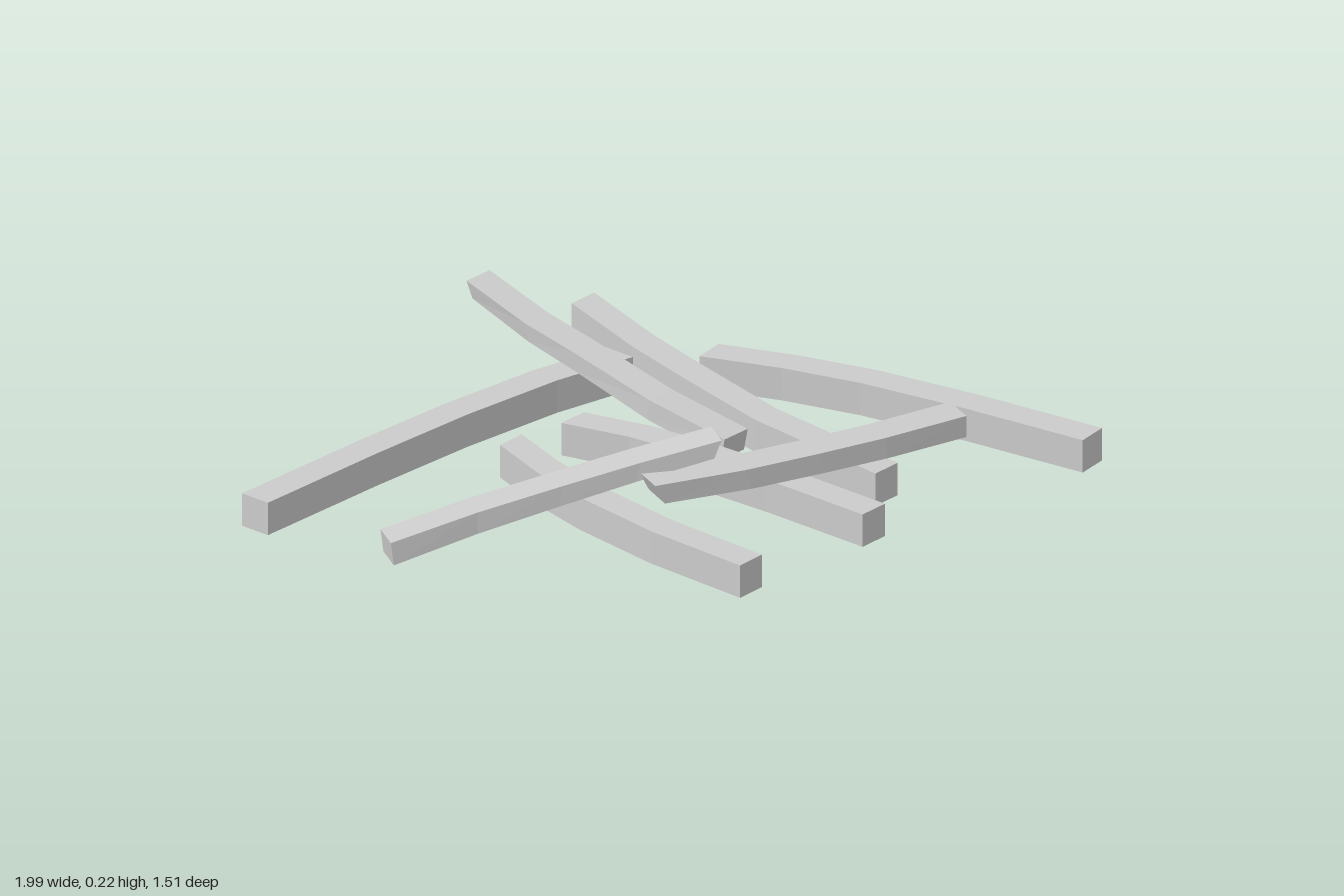
import * as THREE from 'three';

// Each stick: five [x, z] points along its top centre line, half-width cut [x, z],
// top height at both ends, and the section's [x, y, z] rise at both ends.
const FLAT = { y: [0.092, 0.092], up: [[0, 0.092, 0], [0, 0.092, 0]] };
const STICKS = [
  { name: 'backStick', path: [[-0.10, -0.52], [0.12, -0.515], [0.34, -0.49], [0.64, -0.425], [0.985, -0.333]], cut: [0.013, -0.042], ...FLAT },
  { name: 'longStick', path: [[-0.50, -0.72], [-0.275, -0.52], [-0.10, -0.385], [0.15, -0.20], [0.54, 0.015]], cut: [0.018, -0.039], ...FLAT },
  { name: 'rightSideStick', path: [[-0.315, -0.44], [-0.46, -0.25], [-0.62, 0.01], [-0.773, 0.296], [-0.955, 0.66]], cut: [0.04, 0.017], ...FLAT },
  { name: 'middleStick', path: [[-0.317, -0.035], [-0.128, -0.008], [0.05, 0.043], [0.283, 0.13], [0.58, 0.256]], cut: [0.018, -0.039], ...FLAT },
  { name: 'frontStick', path: [[-0.43, 0.136], [-0.29, 0.264], [-0.147, 0.37], [0.09, 0.51], [0.368, 0.637]], cut: [0.017, -0.039], ...FLAT },
  // Thinner sticks resting on the others
  { name: 'stackedStick', path: [[0.65, -0.253], [0.49, -0.067], [0.357, 0.07], [0.203, 0.22], [0.01, 0.378]], cut: [-0.032, -0.034],
    y: [0.153, 0.153], up: [[0, 0.06, 0], [-0.02, 0.056, 0.02]] },
  { name: 'backLeaningStick', path: [[-0.715, -0.505], [-0.523, -0.387], [-0.373, -0.32], [-0.133, -0.203], [0.093, -0.128]], cut: [0.019, -0.039],
    y: [0.224, 0.06], up: [[-0.016, 0.048, 0], [0.01, 0.06, 0]] },
  { name: 'frontLeaningStick', path: [[-0.587, 0.717], [-0.403, 0.56], [-0.216, 0.43], [-0.04, 0.315], [0.144, 0.21]], cut: [-0.025, -0.036],
    y: [0.062, 0.224], up: [[-0.008, 0.062, 0], [0.016, 0.048, -0.012]] },
];

// Sweeps a four-cornered section along the path and caps both ends
function stickGeometry({ path, cut, y, up }) {
  const last = path.length - 1;
  const first = path[0], end = path[last];
  // Point the cut to the right-hand side of the travel direction
  const side = -(end[1] - first[1]) * cut[0] + (end[0] - first[0]) * cut[1];
  const s = Math.sign(side);
  const half = new THREE.Vector3(s * cut[0], 0, s * cut[1]);
  const upA = new THREE.Vector3(...up[0]), upB = new THREE.Vector3(...up[1]);
  const pos = [], index = [];
  path.forEach(([x, z], i) => {
    const t = (x - first[0]) / (end[0] - first[0]);
    const top = new THREE.Vector3(x, THREE.MathUtils.lerp(y[0], y[1], t), z);
    const bottom = top.clone().sub(upA.clone().lerp(upB, t));
    for (const p of [top.clone().add(half), top.clone().sub(half), bottom.clone().sub(half), bottom.clone().add(half)])
      pos.push(p.x, p.y, p.z);
    if (i === last) return;
    for (let j = 0; j < 4; j++) {
      const a = 4 * i + j, b = 4 * i + (j + 1) % 4;
      index.push(a, a + 4, b + 4, a, b + 4, b);
    }
  });
  const e = 4 * last;
  index.push(0, 1, 2, 0, 2, 3, e, e + 2, e + 1, e, e + 3, e + 2);
  const g = new THREE.BufferGeometry();
  g.setAttribute('position', new THREE.Float32BufferAttribute(pos, 3));
  g.setIndex(index);
  const flat = g.toNonIndexed();
  flat.computeVertexNormals();
  return flat;
}

export function createModel() {
  const group = new THREE.Group();
  group.name = 'stickPile';
  const material = new THREE.MeshStandardMaterial({ color: 0xcccccc, flatShading: true });
  for (const stick of STICKS) {
    const mesh = new THREE.Mesh(stickGeometry(stick), material);
    mesh.name = stick.name;
    group.add(mesh);
  }
  return group;
}
